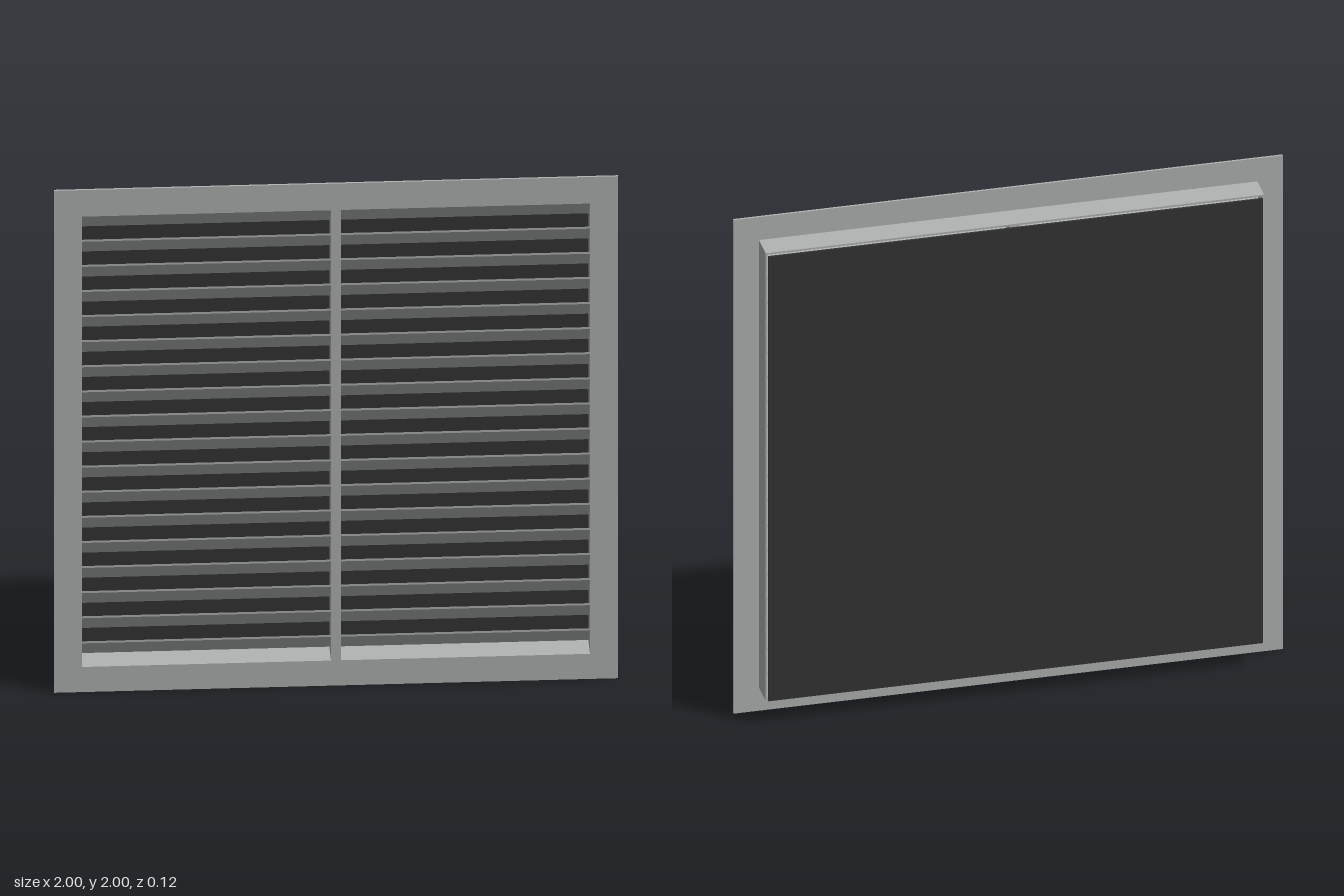
import * as THREE from 'three';

// Square ring outline, centred on the origin
function ring(outer, inner, depth) {
  const square = (S, h) => {
    const s = new S();
    s.moveTo(-h, -h);
    s.lineTo(h, -h);
    s.lineTo(h, h);
    s.lineTo(-h, h);
    s.closePath();
    return s;
  };
  const shape = square(THREE.Shape, outer);
  shape.holes.push(square(THREE.Path, inner));
  return new THREE.ExtrudeGeometry(shape, { depth, bevelEnabled: false });
}

export function createModel() {
  const model = new THREE.Group();
  model.name = 'louvredVent';

  const grey = new THREE.MeshStandardMaterial({ color: 0xb0b4b2 });
  grey.name = 'light grey';
  const black = new THREE.MeshStandardMaterial({ color: 0x343434 });
  black.name = 'charcoal';

  const add = (name, geometry, material, x, y, z) => {
    const mesh = new THREE.Mesh(geometry, material);
    mesh.name = name;
    mesh.position.set(x, y, z);
    model.add(mesh);
    return mesh;
  };

  const half = 0.9;         // half width of the opening
  const zFront = 0.062;
  const zFlange = 0.054;    // back of the flange
  const zSleeve = -0.045;   // back of the sleeve
  const barHalf = 0.018;

  // Thin face flange and the sleeve that goes into the wall
  add('flange', ring(1, half, zFront - zFlange), grey, 0, 1, zFlange);
  add('sleeve', ring(0.907, half, zFlange - zSleeve), grey, 0, 1, zSleeve);

  // Upright divider between the two banks of slats
  add('centreBar', new THREE.BoxGeometry(barHalf * 2, half * 2, zFront - zSleeve),
    grey, 0, 1, (zFront + zSleeve) / 2);

  // Slat section: high at the front edge, sloping down towards the back
  const pitch = 0.1, lip = 0.008, zLip = 0.058;
  const section = new THREE.Shape();
  section.moveTo(zLip, 0);
  section.lineTo(zSleeve, lip - pitch);
  section.lineTo(zSleeve, -pitch);
  section.lineTo(zLip, -lip);
  section.closePath();
  const length = half - barHalf;
  const slat = new THREE.ExtrudeGeometry(section, { depth: length, bevelEnabled: false });
  slat.rotateY(-Math.PI / 2);       // section x -> z, length -> -x
  slat.translate(length / 2, 0, 0);

  for (const side of [-1, 1]) {
    for (let i = 1; i <= 18; i++) {
      add(side > 0 ? 'leftSlat' : 'rightSlat', slat, grey,
        side * (barHalf + length / 2), 0.1 + i * pitch, 0);
    }
  }

  // Dark screen just behind the sleeve
  add('backScreen', new THREE.BoxGeometry(half * 2, half * 2, 0.008), black, 0, 1, -0.058);

  return model;
}
